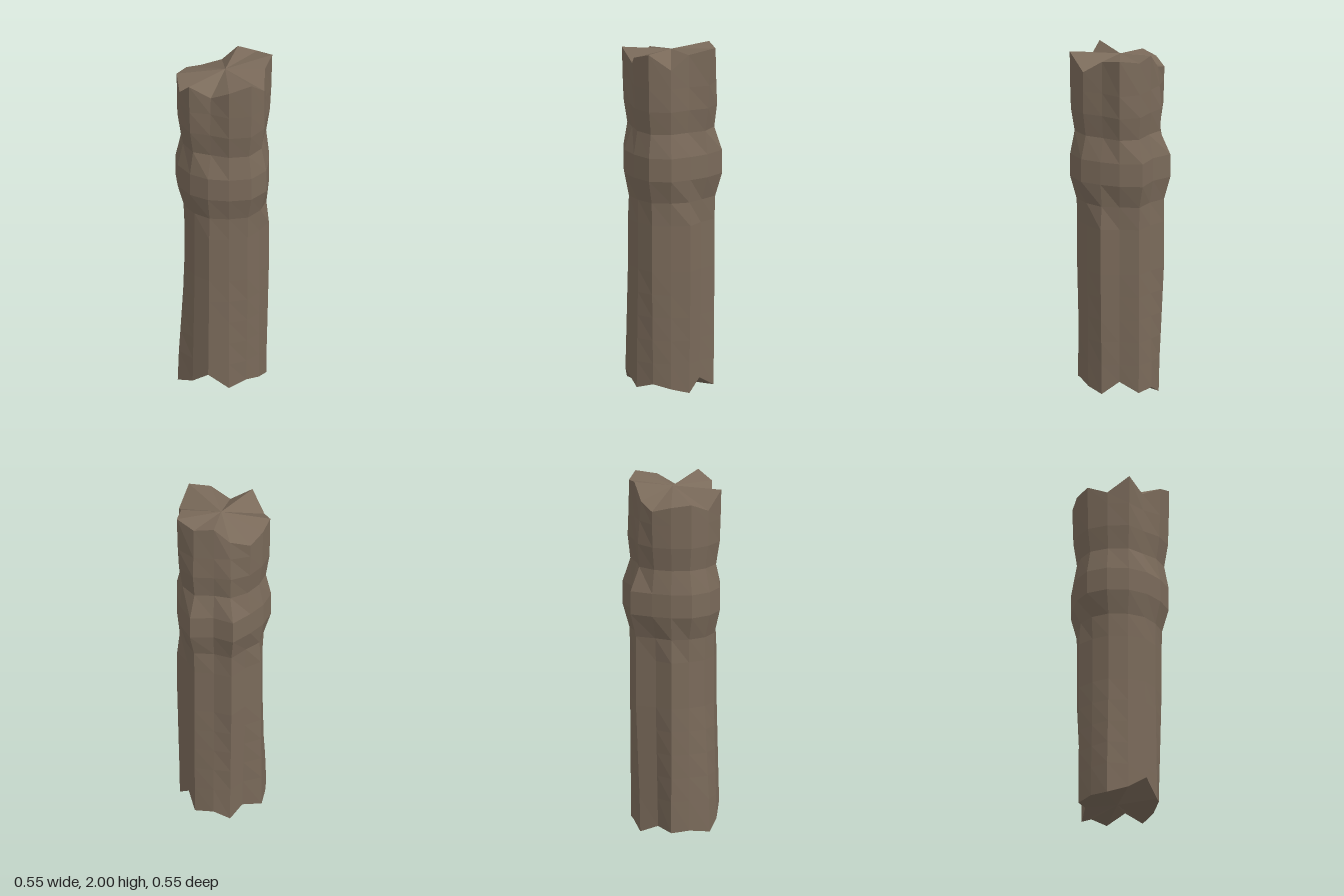
import * as THREE from 'three';

// One entry per vertical ridge of the trunk, going round from +x towards +z:
// angle, radius at base / shaft / bulge / crown, height of base and crown tips
const RIDGES = [
  [6, 0.20, 0.21, 0.255, 0.276, 0.10, 2.0],
  [32, 0.225, 0.24, 0.24, 0.218, 0.03, 1.975],
  [59, 0.215, 0.22, 0.265, 0.252, 0.055, 1.90],
  [86, 0.22, 0.235, 0.275, 0.278, 0.08, 1.99],
  [113, 0.235, 0.225, 0.255, 0.255, 0.05, 1.95],
  [140, 0.255, 0.24, 0.26, 0.216, 0.135, 1.89],
  [165, 0.25, 0.235, 0.27, 0.279, 0.06, 1.955],
  [191, 0.28, 0.24, 0.28, 0.27, 0.015, 1.86],
  [216, 0.25, 0.235, 0.284, 0.279, 0.03, 1.91],
  [240, 0.255, 0.25, 0.265, 0.264, 0.02, 1.895],
  [264.5, 0.19, 0.215, 0.26, 0.263, 0.04, 1.865],
  [291, 0.23, 0.26, 0.297, 0.225, 0, 1.90],
  [314, 0.23, 0.22, 0.24, 0.225, 0.05, 1.99],
  [340, 0.245, 0.25, 0.293, 0.256, 0.04, 1.975],
];

// Radius of a ridge at a height, through a few key stations
function radiusAt(y, [, base, shaft, bulge, crown]) {
  const keys = [
    [0.1, base], [0.34, base * 0.6 + shaft * 0.4], [0.73, shaft], [1.0, shaft], [1.13, shaft * 0.5 + bulge * 0.44],
    [1.26, bulge], [1.4, bulge], [1.53, (crown + bulge) * 0.45],
    [1.66, crown * 0.6 + bulge * 0.38], [1.9, crown],
  ];
  if (y <= keys[0][0]) return base;
  for (let k = 1; k < keys.length; k++) {
    const [y0, r0] = keys[k - 1], [y1, r1] = keys[k];
    if (y <= y1) return THREE.MathUtils.lerp(r0, r1, (y - y0) / (y1 - y0));
  }
  return crown;
}

function geometryFrom(points, index) {
  const g = new THREE.BufferGeometry();
  g.setAttribute('position', new THREE.Float32BufferAttribute(points.flat(), 3));
  g.setIndex(index);
  g.computeVertexNormals();
  return g;
}

function ridgePoint(ridge, y) {
  const a = THREE.MathUtils.degToRad(ridge[0]);
  const r = radiusAt(y, ridge);
  return [r * Math.cos(a), y, r * Math.sin(a)];
}

export function createModel() {
  const group = new THREE.Group();
  group.name = 'trunk';
  const bark = new THREE.MeshStandardMaterial({ color: 0x7a6a5a, flatShading: true });
  bark.name = 'bark brown';
  const n = RIDGES.length;

  const add = (name, points, index) => {
    const mesh = new THREE.Mesh(geometryFrom(points, index), bark);
    mesh.name = name;
    group.add(mesh);
  };

  // Bark: even rings between the two jagged ends
  const levels = Array.from({ length: 13 }, (_, k) => 0.2 + k * 0.1325);
  const rings = [
    RIDGES.map((r) => ridgePoint(r, r[5])),
    ...levels.map((y) => RIDGES.map((r) => ridgePoint(r, y))),
    RIDGES.map((r) => ridgePoint(r, r[6])),
  ];
  const index = [];
  for (let j = 0; j < rings.length - 1; j++) {
    for (let i = 0; i < n; i++) {
      const a = j * n + i, b = j * n + (i + 1) % n;
      index.push(a, a + n, b + n, a, b + n, b);
    }
  }
  add('barkSides', rings.flat(), index);

  // Splintered ends: fans from a centre point to the jagged rims
  const fan = (up) => RIDGES.flatMap((_, i) => {
    const cur = i + 1, next = (i + 1) % n + 1;
    return up ? [0, next, cur] : [0, cur, next];
  });
  add('brokenTop', [[0, 1.96, -0.01], ...rings[rings.length - 1]], fan(true));
  add('brokenBase', [[0, 0.06, -0.01], ...rings[0]], fan(false));

  return group;
}
